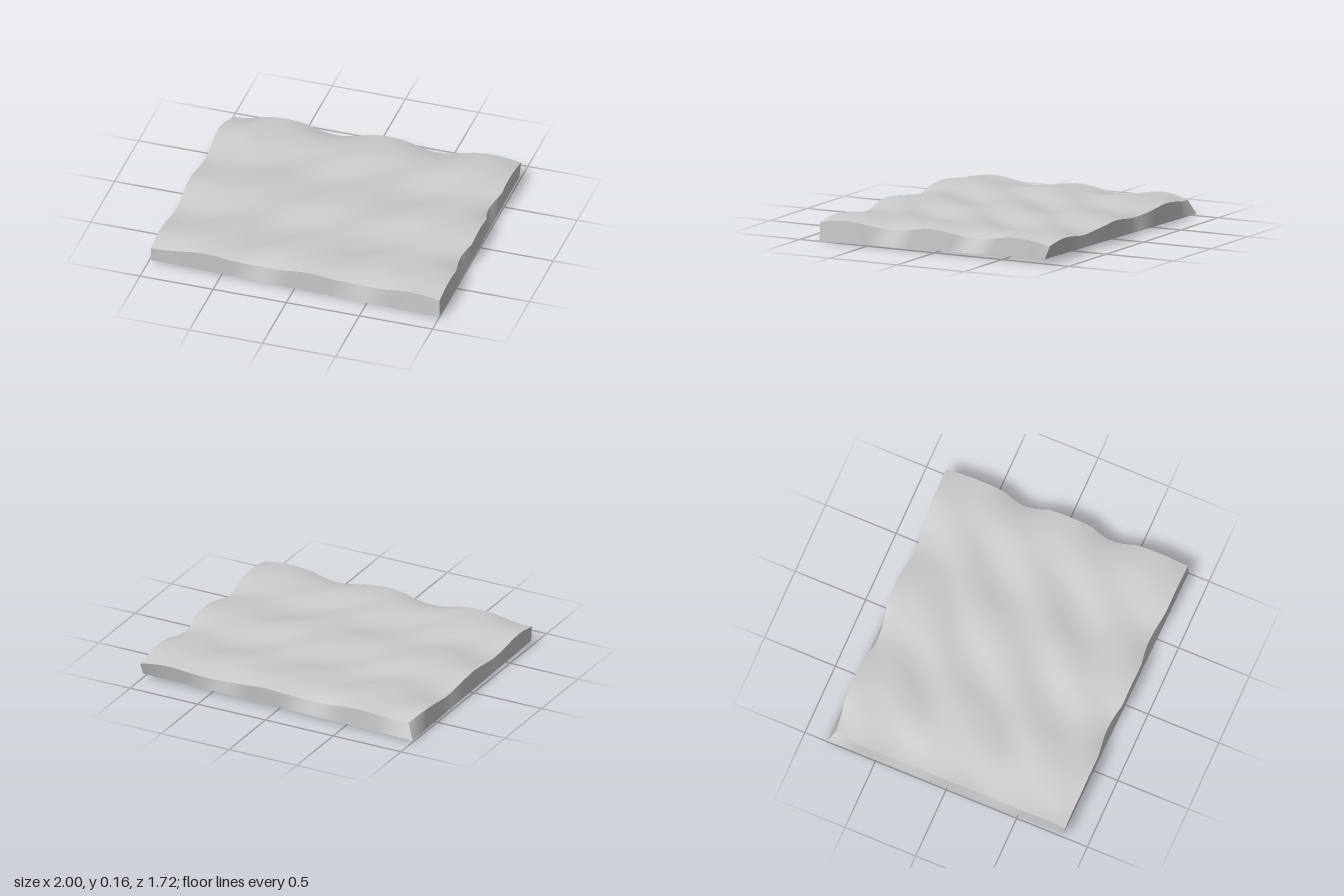
import * as THREE from 'three';

const N = 56; // cells along each side of the top

// corners in the order back -x, back +x, front +x, front -x
const topCorners = [[-0.985, -0.83], [1, -0.86], [1, 0.85], [-0.98, 0.835]];
const bottomCorners = [[-1, 0.012, -0.84], [1, 0.03, -0.82], [1, 0, 0.855], [-0.98, 0.018, 0.825]];

const wave = (t, period) => Math.cos((2 * Math.PI * t) / period);
const near = (t, reach) => Math.max(0, 1 - t / reach);

// rolling height: strong swells along the rim, gentler slanting ripples inside
function height(x, z, rim) {
  const swell = wave(x - 0.1, 0.7) + wave(z - 0.02, 0.63);
  const ripple = wave(x + z - 0.48, 0.53);
  const inside = 0.144 + 0.009 * swell + 0.007 * ripple;
  const h = inside + (0.139 + 0.018 * swell - inside) * rim;
  return h > 0.15 ? 0.15 + (h - 0.15) * 0.6 : h;
}

// point on the top surface; the rim is drawn in wherever it dips
function topPoint(u, v) {
  const mix = k => {
    const [a, b, c, d] = topCorners.map(p => p[k]);
    return (a * (1 - u) + b * u) * (1 - v) + (d * (1 - u) + c * u) * v;
  };
  let x = mix(0), z = mix(1);
  const edge = Math.min(u, 1 - u, v, 1 - v);
  const y = height(x, z, near(edge, 0.22));
  const dip = Math.max(0, 0.136 - y);
  x += dip * Math.sin(Math.PI * v) * (near(u, 0.12) * 0.4 - near(1 - u, 0.12) * 2);
  z += dip * Math.sin(Math.PI * u) * (near(v, 0.12) - near(1 - v, 0.12)) * 1.4;
  // clipped corner at the back
  const clip = near(Math.hypot(u, v), 0.12);
  return [x + 0.035 * clip, y, z + 0.03 * clip];
}

// grid surface from a point function
function surface(name, f, nu, nv, material) {
  const positions = [], index = [];
  for (let j = 0; j <= nv; j++) {
    for (let i = 0; i <= nu; i++) positions.push(...f(i / nu, j / nv));
  }
  for (let j = 0; j < nv; j++) {
    for (let i = 0; i < nu; i++) {
      const a = j * (nu + 1) + i, b = a + 1, c = a + nu + 1, d = c + 1;
      index.push(a, c, b, b, c, d);
    }
  }
  const geometry = new THREE.BufferGeometry();
  geometry.setAttribute('position', new THREE.Float32BufferAttribute(positions, 3));
  geometry.setIndex(index);
  geometry.computeVertexNormals();
  const mesh = new THREE.Mesh(geometry, material);
  mesh.name = name;
  return mesh;
}

const lerp = (a, b, t) => a.map((v, k) => v + (b[k] - v) * t);

export function createModel() {
  const group = new THREE.Group();
  group.name = 'groundSlab';
  const material = new THREE.MeshStandardMaterial({ color: 0xcccccc, side: THREE.DoubleSide });

  // wavy top
  group.add(surface('wavyTop', topPoint, N, N, material));

  // four walls, from the wavy rim down to straight bottom edges
  const rims = [
    ['backWall', t => topPoint(1 - t, 0), 1, 0],
    ['leftWall', t => topPoint(1, 1 - t), 2, 1],
    ['frontWall', t => topPoint(t, 1), 3, 2],
    ['rightWall', t => topPoint(0, t), 0, 3],
  ];
  for (const [name, rim, from, to] of rims) {
    const wall = (t, s) => lerp(rim(t), lerp(bottomCorners[from], bottomCorners[to], t), s);
    group.add(surface(name, wall, N, 1, material));
  }

  // flat underside
  const [a, b, c, d] = bottomCorners;
  group.add(surface('underside', (u, v) => lerp(lerp(d, c, u), lerp(a, b, u), v), 1, 1, material));
  return group;
}
